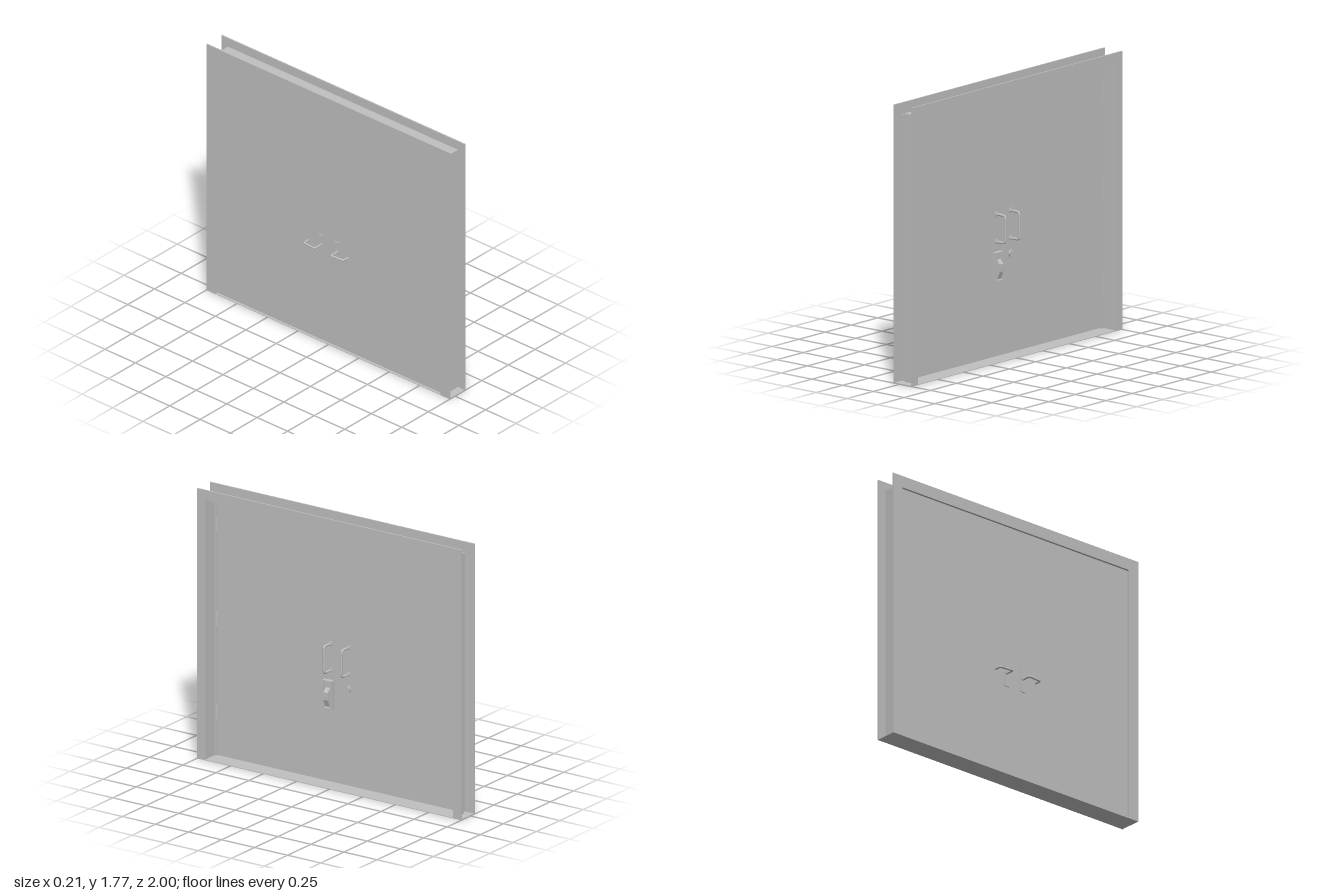
import * as THREE from 'three';

const metal = new THREE.MeshStandardMaterial({ color: 0xc0c0c0 });
metal.name = 'grey metal';

export function createModel() {
  const root = new THREE.Group();
  root.name = 'doubleDoor';

  const add = (name, geometry, x = 0, y = 0, z = 0, parent = root) => {
    const mesh = new THREE.Mesh(geometry, metal);
    mesh.name = name;
    mesh.position.set(x, y, z);
    parent.add(mesh);
    return mesh;
  };
  // Box given by its limits
  const block = (name, x0, x1, y0, y1, z0, z1) =>
    add(name, new THREE.BoxGeometry(x1 - x0, y1 - y0, z1 - z0), (x0 + x1) / 2, (y0 + y1) / 2, (z0 + z1) / 2);
  // Cylinder lying along x
  const disc = (name, r, x0, x1, y, z, sides = 20) =>
    add(name, new THREE.CylinderGeometry(r, r, x1 - x0, sides).rotateZ(Math.PI / 2), (x0 + x1) / 2, y, z);
  // Rod bent through a list of points with rounded corners
  const rod = (name, points, radius, bend) => {
    const p = points.map((q) => new THREE.Vector3(...q));
    const path = new THREE.CurvePath();
    let from = p[0];
    for (let i = 1; i < p.length - 1; i++) {
      const a = p[i].clone().add(p[i - 1].clone().sub(p[i]).setLength(bend));
      const b = p[i].clone().add(p[i + 1].clone().sub(p[i]).setLength(bend));
      path.add(new THREE.LineCurve3(from, a));
      path.add(new THREE.QuadraticBezierCurve3(a, p[i], b));
      from = b;
    }
    path.add(new THREE.LineCurve3(from, p[p.length - 1]));
    return add(name, new THREE.TubeGeometry(path, 48, radius, 10));
  };
  // Extrude a z-y outline along x
  const extrudeX = (name, shape, x0, x1) =>
    add(name, new THREE.ExtrudeGeometry(shape, { depth: x1 - x0, bevelEnabled: false }).rotateY(Math.PI / 2), x0);
  // Door-frame arch: two legs and a head
  const arch = (name, outZ, outY, inZ, inY, x0, x1) => {
    const pts = [[-outZ, 0], [-inZ, 0], [-inZ, inY], [inZ, inY], [inZ, 0], [outZ, 0], [outZ, outY], [-outZ, outY]];
    return extrudeX(name, new THREE.Shape(pts.map((q) => new THREE.Vector2(...q))), x0, x1);
  };

  // Folded sheet frame: casings, jamb and stop
  arch('backCasing', 1, 1.77, 0.925, 1.692, -0.05, -0.041);
  arch('stopLining', 0.93, 1.697, 0.925, 1.692, -0.041, -0.008);
  arch('stopStep', 0.945, 1.71, 0.925, 1.692, -0.008, -0.003);
  arch('jambLining', 0.945, 1.71, 0.94, 1.705, -0.003, 0.091);
  arch('frontCasing', 1, 1.77, 0.94, 1.705, 0.091, 0.1);
  block('threshold', -0.049, 0.099, 0, 0.004, -0.999, 0.999);

  // Door panel
  block('doorPanel', -0.037, -0.009, 0.008, 1.69, -0.922, 0.922);

  for (const s of [-1, 1]) {
    // Hinges
    for (const y of [0.29, 0.905, 1.52]) {
      add('hingeKnuckle', new THREE.CylinderGeometry(0.006, 0.006, 0.1, 12), -0.003, y, s * 0.926);
      block('hingeLeaf', -0.009, -0.006, y - 0.05, y + 0.05, s * 0.922 - 0.006, s * 0.922 + 0.006);
    }

    // Pull handle
    const z = s * 0.067;
    rod('pullHandle', [[-0.009, 0.735, z], [0.06, 0.735, z], [0.06, 0.91, z], [-0.009, 0.91, z]], 0.008, 0.018);
    for (const y of [0.735, 0.91]) disc('pullRose', 0.017, -0.009, -0.002, y, z);

    // Lever and its plate on the other side
    block('leverPlate', -0.043, -0.037, 0.6, 0.76, z - 0.019, z + 0.019);
    disc('leverRose', 0.014, -0.049, -0.043, 0.69, z);
    rod('lever', [[-0.043, 0.688, z], [-0.099, 0.688, z], [-0.092, 0.688, s * 0.161], [-0.048, 0.688, s * 0.163]], 0.007, 0.008);
  }

  // Key cylinder
  disc('cylinderCollar', 0.023, -0.009, 0.001, 0.64, -0.067);
  disc('cylinderCore', 0.015, 0.001, 0.004, 0.64, -0.067);

  // Latch box: rim with a recess and a sloping thumb paddle (outline uses -z)
  const rim = new THREE.Shape([[-0.107, 0.487], [-0.037, 0.487], [-0.037, 0.675], [-0.107, 0.675]].map((q) => new THREE.Vector2(...q)));
  rim.holes.push(new THREE.Path([[-0.097, 0.497], [-0.097, 0.662], [-0.047, 0.662], [-0.047, 0.497]].map((q) => new THREE.Vector2(...q))));
  extrudeX('latchRim', rim, -0.009, 0.022);
  block('latchBase', -0.009, 0.006, 0.497, 0.662, 0.047, 0.097);
  const side = new THREE.Shape([[0.006, 0.505], [0.016, 0.505], [0.034, 0.55], [0.034, 0.6], [0.012, 0.625], [0.006, 0.625]].map((q) => new THREE.Vector2(...q)));
  add('latchPaddle', new THREE.ExtrudeGeometry(side, { depth: 0.034, bevelEnabled: false }), 0, 0, 0.055);

  return root;
}
